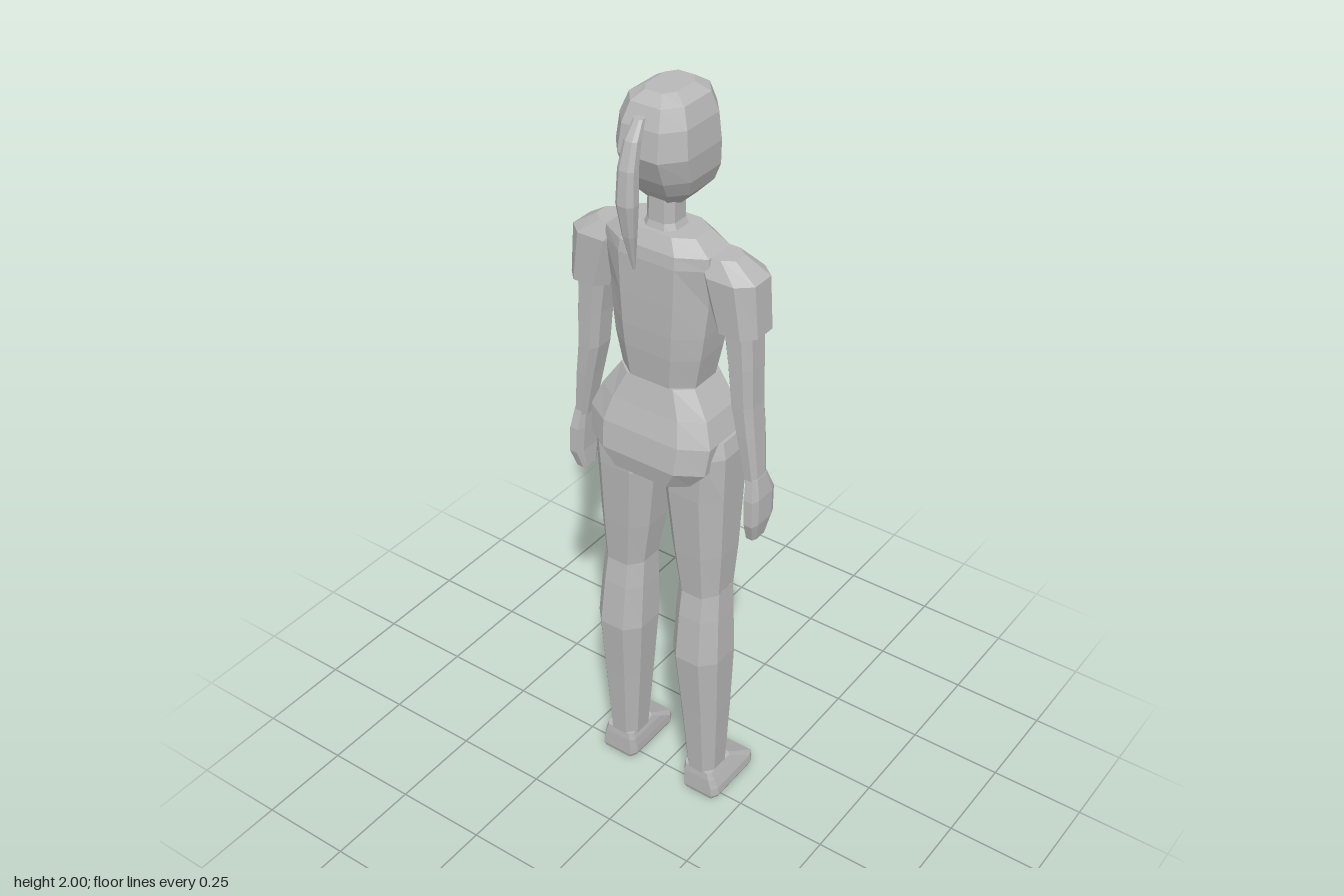
import * as THREE from 'three';

const OCT = (c) => [[1, -c], [1, c], [c, 1], [-c, 1], [-1, c], [-1, -c], [-c, -1], [c, -1]];

// Faceted eight-sided loft; rings run top to bottom as [y, x0, x1, z0, z1]
function loft(rings, corner = 0.55) {
  const oct = OCT(corner);
  const pts = rings.map(([y, x0, x1, z0, z1]) => oct.map(([a, b]) => [
    (x0 + x1) / 2 + a * (x1 - x0) / 2, y, (z0 + z1) / 2 + b * (z1 - z0) / 2]));
  const mid = ([y, x0, x1, z0, z1]) => [(x0 + x1) / 2, y, (z0 + z1) / 2];
  const last = rings.length - 1;
  const out = [];
  for (let j = 0; j < 8; j++) {
    const k = (j + 1) % 8;
    for (let i = 0; i < last; i++) {
      const [a, b, c, d] = [pts[i][j], pts[i][k], pts[i + 1][j], pts[i + 1][k]];
      out.push(...a, ...b, ...c, ...b, ...d, ...c);
    }
    out.push(...mid(rings[0]), ...pts[0][k], ...pts[0][j]);
    out.push(...mid(rings[last]), ...pts[last][j], ...pts[last][k]);
  }
  const g = new THREE.BufferGeometry();
  g.setAttribute('position', new THREE.Float32BufferAttribute(out, 3));
  g.computeVertexNormals();
  return g;
}

// Centred part: rings given as [y, halfWidth, z0, z1]
const centred = (rings) => rings.map(([y, w, z0, z1]) => [y, -w, w, z0, z1]);
// Left part as given, right part reflected in x
const sided = (rings, s) => (s > 0 ? rings : rings.map(([y, a, b, z0, z1]) => [y, -b, -a, z0, z1]));

export function createModel() {
  const group = new THREE.Group();
  group.name = 'figure';
  const grey = new THREE.MeshStandardMaterial({ color: 0xb8b8b8, flatShading: true });
  grey.name = 'grey';
  const add = (name, rings, corner) => {
    const mesh = new THREE.Mesh(loft(rings, corner), grey);
    mesh.name = name;
    group.add(mesh);
  };

  add('head', centred([
    [2.0, 0.04, -0.08, 0.04], [1.98, 0.072, -0.11, 0.07], [1.935, 0.088, -0.125, 0.09],
    [1.87, 0.095, -0.13, 0.1], [1.81, 0.09, -0.13, 0.075], [1.77, 0.075, -0.12, 0.05],
    [1.735, 0.042, -0.085, 0.02]]), 0.55);
  // Ponytail arching off the back of the head
  add('ponytail', centred([
    [1.96, 0.012, 0.08, 0.1], [1.92, 0.018, 0.1, 0.13], [1.86, 0.022, 0.115, 0.15],
    [1.78, 0.024, 0.117, 0.157], [1.7, 0.016, 0.116, 0.143], [1.61, 0.003, 0.112, 0.118]]), 0.5);
  add('neck', centred([[1.76, 0.037, -0.045, 0.03], [1.69, 0.038, -0.045, 0.032], [1.65, 0.055, -0.055, 0.045]]));

  // Torso, with the chest toward -z
  add('torso', centred([
    [1.675, 0.1, -0.065, 0.05], [1.64, 0.14, -0.09, 0.068], [1.61, 0.143, -0.1, 0.072],
    [1.51, 0.136, -0.138, 0.072], [1.43, 0.128, -0.118, 0.071],
    [1.37, 0.12, -0.104, 0.068], [1.285, 0.103, -0.095, 0.06]]), 0.53);
  add('pelvis', centred([
    [1.288, 0.105, -0.108, 0.06], [1.22, 0.15, -0.113, 0.08], [1.16, 0.172, -0.108, 0.1],
    [1.09, 0.165, -0.095, 0.11], [1.04, 0.12, -0.075, 0.1], [0.995, 0.015, -0.05, 0.03]]), 0.62);

  for (const [side, s] of [['left', 1], ['right', -1]]) {
    const pair = (name, rings, corner) => add(side + name, sided(rings, s), corner);
    pair('Sleeve', [
      [1.64, 0.085, 0.19, -0.055, 0.02], [1.6, 0.105, 0.25, -0.082, 0.043],
      [1.47, 0.148, 0.26, -0.078, 0.04]], 0.5);
    pair('Arm', [
      [1.5, 0.163, 0.242, -0.065, 0.027], [1.38, 0.18, 0.247, -0.062, 0.026],
      [1.28, 0.19, 0.25, -0.06, 0.024], [1.2, 0.208, 0.257, -0.058, 0.022],
      [1.07, 0.234, 0.268, -0.045, 0.014]]);
    pair('Hand', [
      [1.085, 0.235, 0.268, -0.045, 0.014], [1.03, 0.238, 0.277, -0.068, 0.026],
      [0.96, 0.242, 0.278, -0.065, 0.028], [0.908, 0.24, 0.268, -0.045, 0.01]], 0.6);
    pair('Thumb', [
      [1.05, 0.232, 0.256, -0.07, -0.045], [1.01, 0.226, 0.25, -0.085, -0.06],
      [0.965, 0.227, 0.242, -0.083, -0.066]], 0.6);

    pair('Thigh', [
      [1.16, 0.06, 0.18, -0.1, 0.055], [1.12, 0.035, 0.191, -0.113, 0.068],
      [1.0, 0.015, 0.188, -0.108, 0.066], [0.82, 0.035, 0.182, -0.094, 0.055],
      [0.69, 0.055, 0.174, -0.08, 0.045]], 0.5);
    pair('Shin', [
      [0.7, 0.054, 0.175, -0.078, 0.043], [0.62, 0.052, 0.18, -0.08, 0.056],
      [0.49, 0.05, 0.187, -0.08, 0.07], [0.3, 0.066, 0.18, -0.073, 0.052],
      [0.08, 0.084, 0.17, -0.063, 0.035]], 0.5);
    // Foot, with the toe toward -z
    pair('Foot', [
      [0.088, 0.087, 0.171, -0.068, 0.035], [0.065, 0.082, 0.179, -0.105, 0.037],
      [0.035, 0.08, 0.188, -0.154, 0.037], [0.012, 0.08, 0.19, -0.158, 0.037],
      [0, 0.085, 0.185, -0.154, 0.033]], 0.8);
  }
  return group;
}
